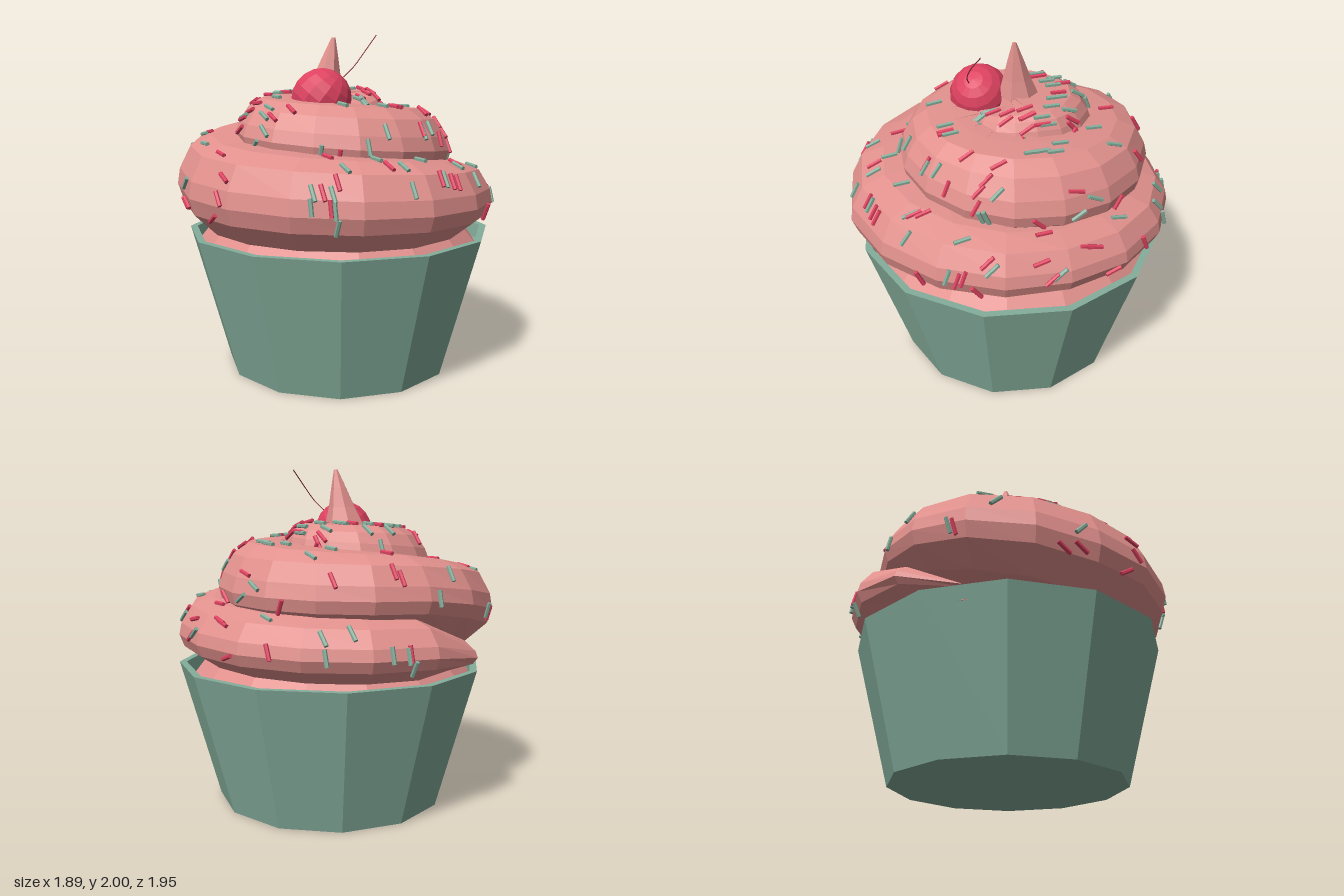
import * as THREE from 'three';

const mat = (name, color) => {
  const m = new THREE.MeshStandardMaterial({ color, flatShading: true });
  m.name = name;
  return m;
};

// Swirl keys: turns from the back, widest radius, underside height, top height
const KEYS = [
  [-0.12, 0.82, 0.86, 0.89], [-0.06, 0.95, 0.86, 1.06], [0, 0.97, 0.85, 1.19],
  [0.25, 0.92, 0.86, 1.23], [0.5, 0.985, 0.86, 1.33], [0.75, 0.95, 0.87, 1.4],
  [0.875, 0.955, 0.97, 1.46], [0.93, 0.9, 1.05, 1.49], [1, 0.84, 1.12, 1.52],
  [1.25, 0.715, 1.15, 1.57], [1.5, 0.66, 1.24, 1.6], [1.75, 0.63, 1.32, 1.64],
  [2, 0.5, 1.43, 1.67], [2.25, 0.32, 1.5, 1.68], [2.38, 0.28, 1.5, 1.64],
  [2.5, 0.25, 1.5, 1.61], [2.75, 0.2, 1.5, 1.64], [3.1, 0.02, 1.55, 1.66],
];
// Coil cross-sections (fraction of radius, fraction of height): round below, sloping above
const ROUND = [
  [0, 0], [0.83, 0], [0.97, 0.24], [1, 0.42], [0.985, 0.6],
  [0.915, 0.86], [0.78, 0.97], [0.55, 1], [0, 1],
];
const SLOPED = [
  [0, 0], [0.87, 0], [0.98, 0.18], [1, 0.34], [0.96, 0.55],
  [0.87, 0.81], [0.74, 0.97], [0.52, 1], [0, 1],
];

function coilAt(u) {
  const last = KEYS.length - 1;
  if (u >= KEYS[last][0]) return KEYS[last];
  let i = 0;
  while (i < last - 1 && u > KEYS[i + 1][0]) i++;
  const a = KEYS[i], b = KEYS[i + 1], t = (u - a[0]) / (b[0] - a[0]);
  return a.map((v, k) => v + (b[k] - v) * t);
}

function coilPoint(u, j) {
  const [, R, lo, hi] = coilAt(u);
  const k = THREE.MathUtils.smoothstep(u, 0.8, 1.4), a = u * Math.PI * 2;
  const f = THREE.MathUtils.lerp(ROUND[j][0], SLOPED[j][0], k);
  const h = THREE.MathUtils.lerp(ROUND[j][1], SLOPED[j][1], k);
  return new THREE.Vector3(Math.sin(a) * R * f, lo + (hi - lo) * h, -Math.cos(a) * R * f);
}

const U0 = -0.12, STEPS = 52, DU = 3.22 / STEPS;

function swirlGeometry() {
  const pos = [], idx = [], n = ROUND.length;
  for (let i = 0; i <= STEPS; i++)
    for (let j = 0; j < n; j++) pos.push(...coilPoint(U0 + i * DU, j).toArray());
  for (let i = 0; i < STEPS; i++)
    for (let j = 0; j < n - 1; j++) {
      const a = i * n + j, b = a + n;
      idx.push(a, a + 1, b + 1, a, b + 1, b);
    }
  const g = new THREE.BufferGeometry();
  g.setAttribute('position', new THREE.Float32BufferAttribute(pos, 3));
  g.setIndex(idx);
  return flat(g);
}

function flat(g) {
  const f = g.toNonIndexed();
  f.computeVertexNormals();
  return f;
}

function randomizer(seed) {
  return () => {
    seed = (seed * 16807) % 2147483647;
    return seed / 2147483647;
  };
}

export function createModel() {
  const model = new THREE.Group();
  const green = mat('wrapper green', 0x84ad9b);
  const pink = mat('frosting pink', 0xe2918d);
  const red = mat('cherry red', 0xde4260);
  const stemRed = mat('stem dark red', 0x8c2a3c);
  pink.side = THREE.DoubleSide;

  const add = (name, geometry, material, parent = model) => {
    const m = new THREE.Mesh(geometry, material);
    m.name = name;
    parent.add(m);
    return m;
  };

  // Twelve-sided wrapper with a thin rim
  const cup = [[0, 0], [0.69, 0], [0.922, 0.84], [0.88, 0.84], [0.86, 0.76], [0, 0.76]];
  add('wrapper', flat(new THREE.LatheGeometry(cup.map(p => new THREE.Vector2(...p)), 12)), green)
    .position.set(0.02, 0, 0.01);

  // Frosting: filling, spiral coil and peak
  add('frostingBase', flat(new THREE.CylinderGeometry(0.76, 0.865, 0.13, 16)), pink)
    .position.set(0.01, 0.825, 0.005);
  add('frostingSwirl', swirlGeometry(), pink);

  const peak = new THREE.CylinderGeometry(0.012, 0.18, 0.44, 7, 4);
  const p = peak.attributes.position;
  for (let i = 0; i < p.count; i++) {
    const t = (p.getY(i) + 0.22) / 0.44, pinch = 1 - 0.6 * t * (1 - t);
    p.setX(i, p.getX(i) * pinch - 0.06 * (1 - t));
    p.setZ(i, p.getZ(i) * pinch - 0.02 - 0.05 * (1 - t));
  }
  add('frostingPeak', flat(peak), pink).position.y = 1.77;

  // Cherry with a curved stem
  const cherryCentre = new THREE.Vector3(-0.168, 1.632, 0.13);
  const cherry = add('cherry', flat(new THREE.SphereGeometry(0.177, 14, 10)), red);
  cherry.position.copy(cherryCentre);
  cherry.rotation.set(0.45, 0, -0.5);
  const stemPath = new THREE.CatmullRomCurve3([
    [-0.085, 1.75, 0.22], [-0.03, 1.81, 0.25], [0.04, 1.89, 0.25], [0.145, 1.997, 0.225],
  ].map(q => new THREE.Vector3(...q)));
  add('cherryStem', new THREE.TubeGeometry(stemPath, 8, 0.003, 5), stemRed);

  // Sprinkles lying on the exposed faces of the coil, all in planes of constant x
  const sprinkles = new THREE.Group();
  sprinkles.name = 'sprinkles';
  model.add(sprinkles);
  const rod = flat(new THREE.CylinderGeometry(0.0125, 0.0125, 0.092, 6));
  const rand = randomizer(4711);
  const up = new THREE.Vector3(0, 1, 0);
  let count = 0;
  for (let tries = 0; tries < 4000 && count < 150; tries++) {
    const i = Math.floor(Math.pow(rand(), 1.4) * (STEPS - 12)) + 2;
    const j = 2 + Math.floor(Math.pow(rand(), 0.65) * 5);
    const u = U0 + i * DU, s = 0.15 + rand() * 0.7, t = 0.15 + rand() * 0.7;
    const a = coilPoint(u, j), b = coilPoint(u + DU, j);
    const c = coilPoint(u + DU, j + 1), d = coilPoint(u, j + 1);
    const at = a.clone().lerp(b, s).lerp(d.clone().lerp(c, s), t);
    // Skip spots under the next coil, in the wrapper or under the cherry
    const next = coilAt(u + s * DU + 1);
    if (u < 2.1 && Math.hypot(at.x, at.z) < next[1] + 0.02) continue;
    if (at.y < 0.93 || at.distanceTo(cherryCentre) < 0.23) continue;
    const normal = c.sub(a).cross(b.sub(d)).normalize();
    if (normal.dot(new THREE.Vector3(at.x, 0.6, at.z)) < 0) normal.negate();
    const dir = new THREE.Vector3(0, normal.z, -normal.y).normalize();
    const m = add('sprinkle', rod, count % 2 ? red : green, sprinkles);
    m.position.copy(at).addScaledVector(normal, 0.008);
    m.quaternion.setFromUnitVectors(up, dir);
    count++;
  }
  return model;
}
